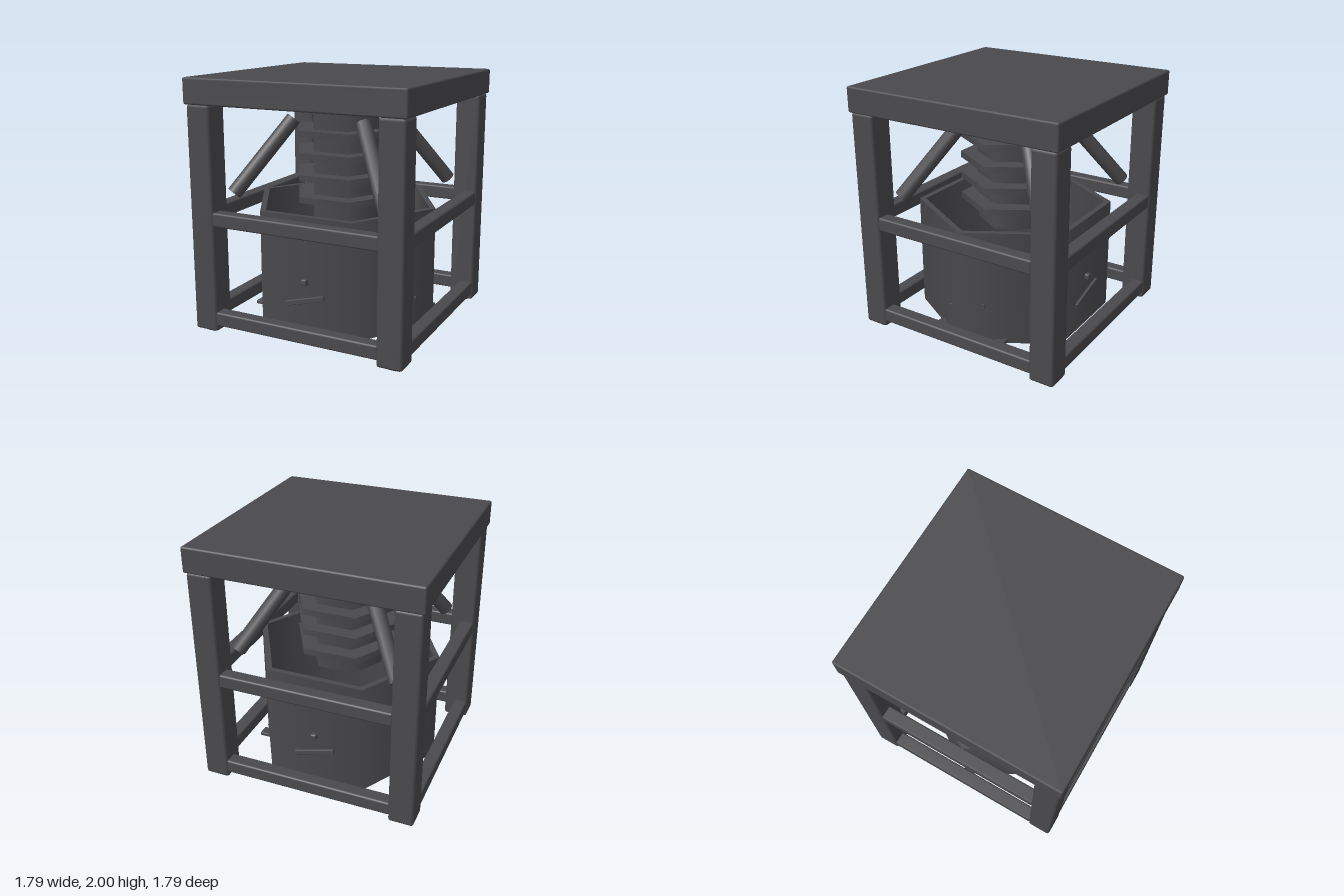
import * as THREE from 'three';
import { RoundedBoxGeometry } from 'three/addons/geometries/RoundedBoxGeometry.js';

export function createModel() {
  const model = new THREE.Group();
  const iron = new THREE.MeshStandardMaterial({ color: 0x4a4a4e });
  iron.name = 'darkIron';

  const add = (name, geometry, x, y, z, parent = model) => {
    const mesh = new THREE.Mesh(geometry, iron);
    mesh.name = name;
    mesh.position.set(x, y, z);
    parent.add(mesh);
    return mesh;
  };
  const box = (w, h, d, bevel = 0.014) => new RoundedBoxGeometry(w, h, d, 1, bevel);
  // Six-sided prism with corners on the x axis
  const hex = (r, h) => new THREE.CylinderGeometry(r, r, h, 6, 1, false, Math.PI / 2);

  // Top slab
  add('topSlab', box(1.79, 0.2, 1.79), 0, 1.9, 0);

  // Corner posts, feet and diagonal braces
  for (const sx of [-1, 1]) {
    for (const sz of [-1, 1]) {
      add('post', box(0.2, 1.77, 0.2, 0.02), sx * 0.78, 0.915, sz * 0.78);
      add('foot', box(0.08, 0.06, 0.08, 0.01), sx * 0.78, 0.03, sz * 0.78);

      const low = new THREE.Vector3(sx * 0.64, 1.1, sz * 0.64);
      const high = new THREE.Vector3(sx * 0.3, 1.66, sz * 0.3);
      const axis = high.clone().sub(low);
      const mid = low.clone().add(high).multiplyScalar(0.5);
      const brace = add('brace', new THREE.CylinderGeometry(0.06, 0.06, axis.length(), 10),
        mid.x, mid.y, mid.z);
      brace.quaternion.setFromUnitVectors(new THREE.Vector3(0, 1, 0), axis.normalize());
    }
  }

  // Rails, handle and knob, repeated on all four sides
  for (let i = 0; i < 4; i++) {
    const side = new THREE.Group();
    side.name = 'side';
    side.rotation.y = i * Math.PI / 2;
    model.add(side);
    add('lowerRail', box(1.38, 0.11, 0.11), 0, 0.135, 0.82, side);
    add('upperRail', box(1.38, 0.11, 0.11), 0, 0.935, 0.82, side);
    add('knob', box(0.05, 0.05, 0.05, 0.012), 0, 0.49, 0.683, side);
    const handle = add('handle', box(0.34, 0.04, 0.03, 0.005), 0, 0.34, 0.678, side);
    handle.rotation.z = 0.27;
  }

  // Open hexagonal drum: outer wall, top rim, inner wall, bottom rim
  const drum = new THREE.Group();
  drum.name = 'drum';
  model.add(drum);
  const section = [[0.775, 0.065], [0.775, 0.995], [0.725, 0.995], [0.725, 0.065]];
  section.forEach((p, i) => {
    const q = section[(i + 1) % section.length];
    const points = [new THREE.Vector2(...p), new THREE.Vector2(...q)];
    add('drumWall', new THREE.LatheGeometry(points, 6, Math.PI / 2), 0, 0, 0, drum);
  });

  // Grate bars across the drum floor
  for (let i = -2; i <= 2; i++) {
    add('grateBar', box(1.36, 0.03, 0.09, 0.006), 0, 0.085, i * 0.135);
  }

  // Central column with cooling fins
  add('column', hex(0.295, 0.96), 0, 1.33, 0);
  for (let i = 0; i < 4; i++) {
    add('fin', hex(0.43, 0.05), 0, 1.035 + i * 0.173, 0);
  }
  return model;
}
